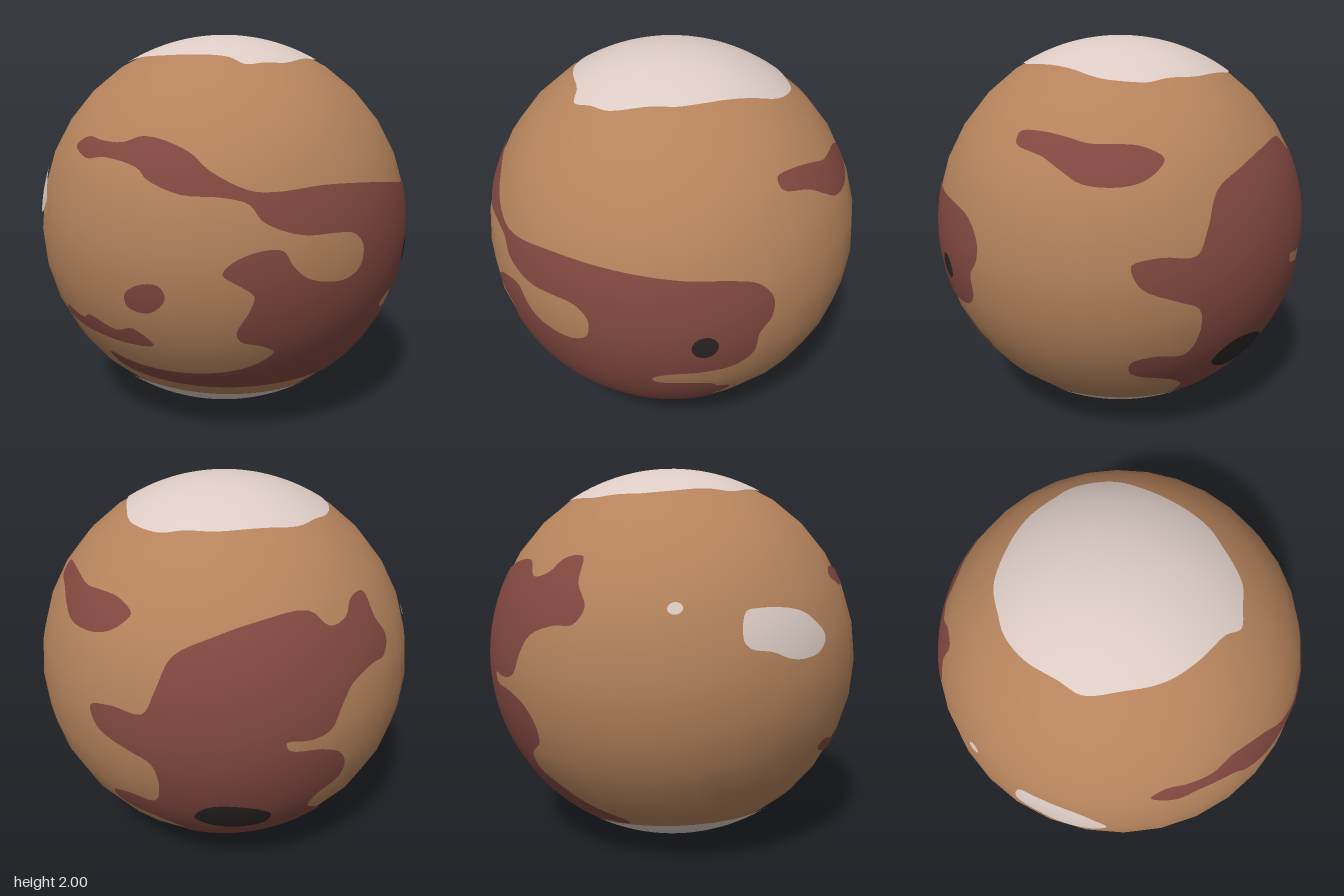
import * as THREE from 'three';

const mat = (name, color) => new THREE.MeshStandardMaterial({ name, color });

// Returns a function that turns flat [x, y, x, y...] offsets, seen from the given
// azimuth and elevation, into points on the unit sphere.
function facing(azimuth, elevation, scale) {
  const a = THREE.MathUtils.degToRad(azimuth), e = THREE.MathUtils.degToRad(elevation);
  const right = new THREE.Vector3(Math.cos(a), 0, -Math.sin(a));
  const out = new THREE.Vector3(Math.sin(a) * Math.cos(e), Math.sin(e), Math.cos(a) * Math.cos(e));
  const up = out.clone().cross(right);
  return (list) => {
    const points = [];
    for (let i = 0; i < list.length; i += 2) {
      const x = list[i] / scale, y = list[i + 1] / scale;
      const d = Math.sqrt(Math.max(0, 1 - x * x - y * y));
      points.push(new THREE.Vector3().addScaledVector(right, x).addScaledVector(up, y)
        .addScaledVector(out, d).normalize());
    }
    return points;
  };
}
const front = facing(0, 0, 100);
const side = facing(90, 0, 100);
const top = facing(0, 90, 100);
const backLeft = facing(215, 24, 184);
const backRight = facing(140, -30, 184);

const oval = (x, y, rx, ry) => Array.from({ length: 10 }, (_, i) => {
  const t = i / 10 * Math.PI * 2;
  return [x + rx * Math.cos(t), y + ry * Math.sin(t)];
}).flat();

// Smooth closed outline, filled, subdivided and wrapped onto a sphere of the given radius
function patch(name, outline, radius, material) {
  const out = outline.reduce((s, p) => s.add(p), new THREE.Vector3()).normalize();
  const right = new THREE.Vector3(0, 1, 0);
  if (Math.abs(out.y) > 0.9) right.set(0, 0, 1);
  right.cross(out).normalize();
  const up = out.clone().cross(right);

  // Stereographic flattening about the patch centre
  const flat = outline.map((p) => {
    const k = 2 / (1 + p.dot(out));
    return new THREE.Vector3(p.dot(right) * k, p.dot(up) * k, 0);
  });
  const curve = new THREE.CatmullRomCurve3(flat, true, 'centripetal');
  const rim = curve.getPoints(flat.length * 4).slice(0, -1).map((p) => new THREE.Vector2(p.x, p.y));
  const fill = new THREE.ShapeGeometry(new THREE.Shape(rim)).toNonIndexed().attributes.position;

  const positions = [], normals = [];
  const wrap = (p) => {
    const q = (p.x * p.x + p.y * p.y) / 4;
    const v = new THREE.Vector3().addScaledVector(right, p.x).addScaledVector(up, p.y)
      .addScaledVector(out, 1 - q).divideScalar(1 + q);
    normals.push(v.x, v.y, v.z);
    positions.push(v.x * radius, v.y * radius, v.z * radius);
  };
  // Halve the longest edge until every edge is short
  const split = (a, b, c) => {
    const ab = a.distanceTo(b), bc = b.distanceTo(c), ca = c.distanceTo(a);
    const longest = Math.max(ab, bc, ca);
    if (longest < 0.07) return [a, b, c].forEach(wrap);
    if (longest === bc) return split(b, c, a);
    if (longest === ca) return split(c, a, b);
    const m = a.clone().add(b).multiplyScalar(0.5);
    split(a, m, c);
    split(m, b, c);
  };
  const corner = (i) => new THREE.Vector2(fill.getX(i), fill.getY(i));
  for (let i = 0; i < fill.count; i += 3) split(corner(i), corner(i + 1), corner(i + 2));

  const geometry = new THREE.BufferGeometry();
  geometry.setAttribute('position', new THREE.Float32BufferAttribute(positions, 3));
  geometry.setAttribute('normal', new THREE.Float32BufferAttribute(normals, 3));
  const mesh = new THREE.Mesh(geometry, material);
  mesh.name = name;
  return mesh;
}

export function createModel() {
  const sand = mat('sand', 0xb5835c);
  const rust = mat('rust', 0x824840);
  const ice = mat('ice', 0xdccbc4);
  const crater = mat('crater', 0x2c2625);
  const planet = new THREE.Group();
  planet.name = 'planet';

  const globe = new THREE.Mesh(new THREE.SphereGeometry(0.996, 32, 16), sand);
  globe.name = 'globe';
  planet.add(globe);

  // Front continent, with an arm and a foot reaching round its side
  const frontLand = [
    ...front([-80, 44, -78, 36, -70, 28, -62, 27, -42, 29, -20, 28.5, 0, 27, 20, 25, 40, 23, 52, 19,
      59, 10, 59, 0, 54, -8, 52, -20, 44, -27, 30, -29, 12, -30, 5, -34, 7, -37, 18, -38, 32, -41,
      36, -46, 41, -49, 39, -54, 33, -58, 34, -67, 32, -74, 20, -76, 5, -75, -12, -72, -30, -72,
      -50, -72, -65, -71]),
    ...backLeft([108, -145, 114, -136, 127, -131]),
    ...front([-65, -60, -57, -55, -54, -48, -60, -44, -68, -41, -71, -36, -70, -25, -70, -18,
      -75, -13, -80, -8, -78, -3, -70, 2, -62, 2, -58, -5, -52, -11, -42, -14, -32, -14, -25, -10,
      -23, -4, -24, 2, -30, 7, -40, 8, -52, 8, -60, 10, -68, 15, -71, 22, -78, 25, -87, 26, -91, 32]),
    ...backLeft([159, 35, 139, 29, 126, 20, 107, 24, 114, 36, 129, 40, 142, 47, 148, 60]),
  ];

  // Back continent
  const backLand = backRight([11, 161, 28, 152, 46, 152, 56, 157, 73, 154, 81, 140, 94, 124, 88, 116,
    71, 119, 46, 116, 34, 104, 24, 89, 6, 85, -17, 86, -14, 79, 16, 74, 36, 64, 46, 47, 43, 30,
    24, 17, 19, 0, 34, -18, 51, -43, 71, -73, 66, -80, 36, -75, 6, -80, -39, -73, -72, -73,
    -84, -53, -104, -43, -134, -43, -141, -28, -131, -13, -114, -6, -112, 17, -119, 42, -134, 44,
    -154, 44, -158, 57, -144, 72, -124, 82, -114, 102, -99, 127, -69, 145, -34, 157]);

  // Islands
  const longIsland = side([-60, 54, -58, 59, -50, 60, -40, 58.5, -30, 56, -20, 56, -8, 55, 1, 50,
    -3, 45, -10, 41, -20, 39, -35, 40, -43, 45, -50, 50]);
  const thinIsland = backLeft([91, -125, 97, -118, 119, -114, 129, -106, 144, -103, 155, -92,
    155, -98, 139, -113, 124, -120, 109, -125]);
  const smallIsland = front([-93, -14, -91, -20, -92, -28, -95, -26, -96.5, -20, -96, -15]);

  const lands = { frontLand, backLand, longIsland, thinIsland, smallIsland };
  for (const [name, outline] of Object.entries(lands)) planet.add(patch(name, outline, 0.998, rust));

  // Polar caps and pale plains
  const northCap = top([0, 56, 10, 55, 25, 52, 38, 42, 52, 25, 57, 10, 60, 0, 58, -12, 53, -22,
    40, -33, 30, -40, 20, -46, 10, -50, 0, -51, -20, -52, -30, -47, -39, -42, -40, -33, -46, -18,
    -49, -5, -49, 5, -46, 18, -40, 35, -30, 42, -15, 52]);
  const southRadii = [0.6, 0.61, 0.63, 0.62, 0.61, 0.565, 0.61, 0.63, 0.63, 0.65, 0.62, 0.6];
  const southCap = southRadii.map((r, i) => {
    const t = i * Math.PI / 6;
    return new THREE.Vector3(r * Math.sin(t), -Math.sqrt(1 - r * r), r * Math.cos(t));
  });
  const palePlain = backLeft([-2, -43, 2, -21, 14, -18, 54, -18, 71, -25, 84, -37, 76, -50, 59, -57,
    42, -58, 24, -53, 4, -50]);
  const paleDot = backLeft(oval(-54, -14, 6, 5));
  const pales = { northCap, southCap, palePlain, paleDot };
  for (const [name, outline] of Object.entries(pales)) planet.add(patch(name, outline, 0.999, ice));

  // Dark craters
  planet.add(patch('frontCrater', front(oval(30, -11, 6, 6.5)), 1, crater));
  planet.add(patch('backCrater', side([28, -52, 33, -44, 42, -40, 55, -43, 60, -50, 55, -58,
    45, -61, 35, -59]), 1, crater));

  planet.position.y = 1;
  const model = new THREE.Group();
  model.name = 'model';
  model.add(planet);
  return model;
}
